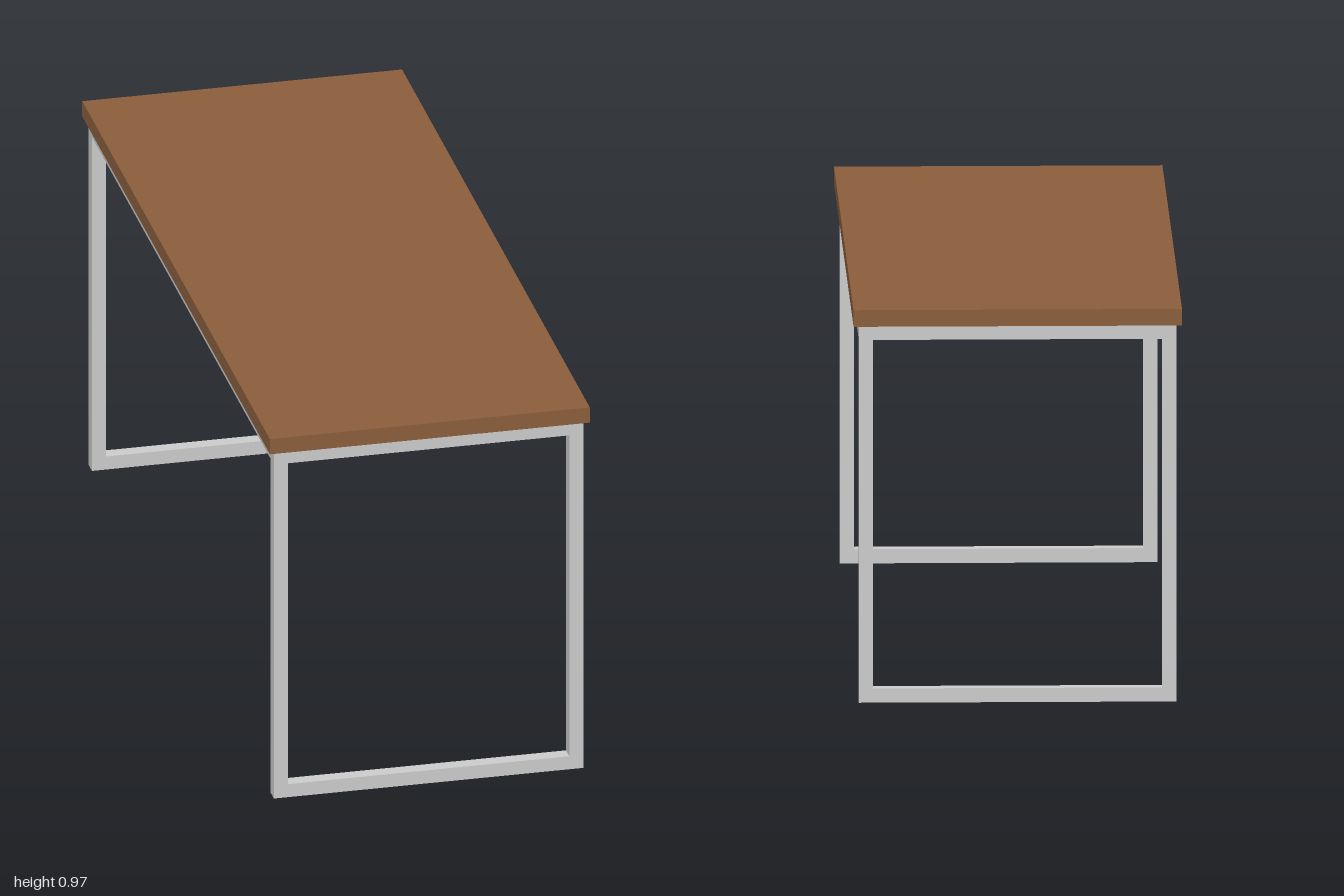
import * as THREE from 'three';

const TOP = { width: 0.8, depth: 2, bottom: 0.932, height: 0.041 };
const TUBE = 0.035;     // square tube thickness
const HALF_X = 0.387;   // outer half-extents of the frame
const HALF_Z = 0.987;

export function createModel() {
  const model = new THREE.Group();
  model.name = 'table';
  const wood = new THREE.MeshStandardMaterial({ color: 0x8b5e3c });
  const metal = new THREE.MeshStandardMaterial({ color: 0xcccccc });

  // Wooden top
  const top = new THREE.Mesh(new THREE.BoxGeometry(TOP.width, TOP.height, TOP.depth), wood);
  top.name = 'tableTop';
  top.position.y = TOP.bottom + TOP.height / 2;
  model.add(top);

  // Closed rectangular leg frame, one at each end
  const outline = new THREE.Shape([
    new THREE.Vector2(-HALF_X, 0),
    new THREE.Vector2(HALF_X, 0),
    new THREE.Vector2(HALF_X, TOP.bottom),
    new THREE.Vector2(-HALF_X, TOP.bottom),
  ]);
  const inX = HALF_X - TUBE;
  const inTop = TOP.bottom - TUBE;
  outline.holes.push(new THREE.Path([
    new THREE.Vector2(-inX, TUBE),
    new THREE.Vector2(-inX, inTop),
    new THREE.Vector2(inX, inTop),
    new THREE.Vector2(inX, TUBE),
  ]));
  const frameGeometry = new THREE.ExtrudeGeometry(outline, { depth: TUBE, bevelEnabled: false });
  frameGeometry.translate(0, 0, -TUBE / 2);

  // Long rails between the leg frames, under the top
  const railGeometry = new THREE.BoxGeometry(TUBE, TUBE, 2 * (HALF_Z - TUBE));

  for (const side of [1, -1]) {
    const frame = new THREE.Mesh(frameGeometry, metal);
    frame.name = side > 0 ? 'frontLegFrame' : 'backLegFrame';
    frame.position.z = side * (HALF_Z - TUBE / 2);

    const rail = new THREE.Mesh(railGeometry, metal);
    rail.name = side > 0 ? 'leftRail' : 'rightRail';
    rail.position.set(side * (HALF_X - TUBE / 2), TOP.bottom - TUBE / 2, 0);
    model.add(frame, rail);
  }
  return model;
}
